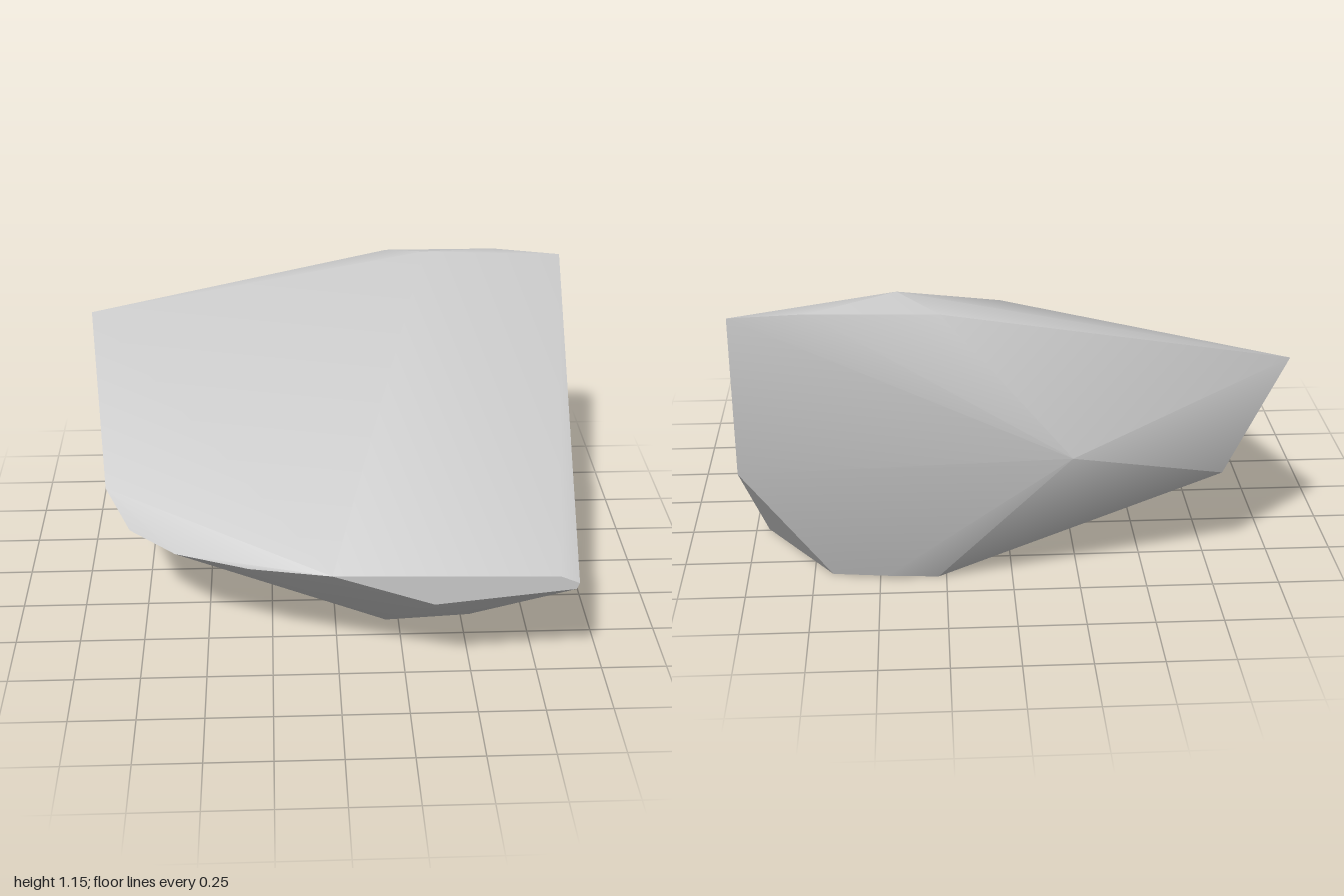
import * as THREE from 'three';
import { ConvexGeometry } from 'three/addons/geometries/ConvexGeometry.js';
import { toCreasedNormals } from 'three/addons/utils/BufferGeometryUtils.js';

// Corners of the boulder, grouped by the region they outline
const corners = {
  topRidge: [[-1, 0.885, -0.66], [0.41, 1.155, -0.625], [0.26, 1.115, -0.75], [0.72, 1.12, -0.735], [1, 1.1, -0.71]],
  back: [[-0.2, 0.61, -0.88], [1, 0.49, -0.705], [-0.78, 0.42, -0.65]],
  frontFace: [[-0.03, 0.525, 0.88], [0.79, 0.505, 0.88], [0.86, 0.475, 0.88], [0.85, 0.45, 0.88], [0.34, 0.395, 0.88]],
  roundedSide: [[-0.89, 0.53, 0.23], [-0.88, 0.43, 0.1], [-0.79, 0.44, 0.4], [-0.61, 0.43, 0.56], [-0.33, 0.46, 0.72]],
  base: [
    [0.95, 0, -0.24], [0.88, 0, 0.19], [0.53, 0.025, 0.41], [0.2, 0, 0.4], [-0.12, 0.035, 0.1],
    [-0.03, 0, -0.43], [0.28, 0, -0.64], [0.47, 0.015, -0.65], [0.68, 0, -0.6],
  ],
};

export function createModel() {
  const group = new THREE.Group();
  group.name = 'rock';

  const stone = new THREE.MeshStandardMaterial({ color: 0xcacaca });
  stone.name = 'grey stone';

  // Single chipped stone: soft across shallow bends, crisp on the sharp edges
  const points = Object.values(corners).flat().map((p) => new THREE.Vector3(...p));
  const boulder = new THREE.Mesh(toCreasedNormals(new ConvexGeometry(points), 0.6), stone);
  boulder.name = 'boulder';
  group.add(boulder);

  return group;
}
